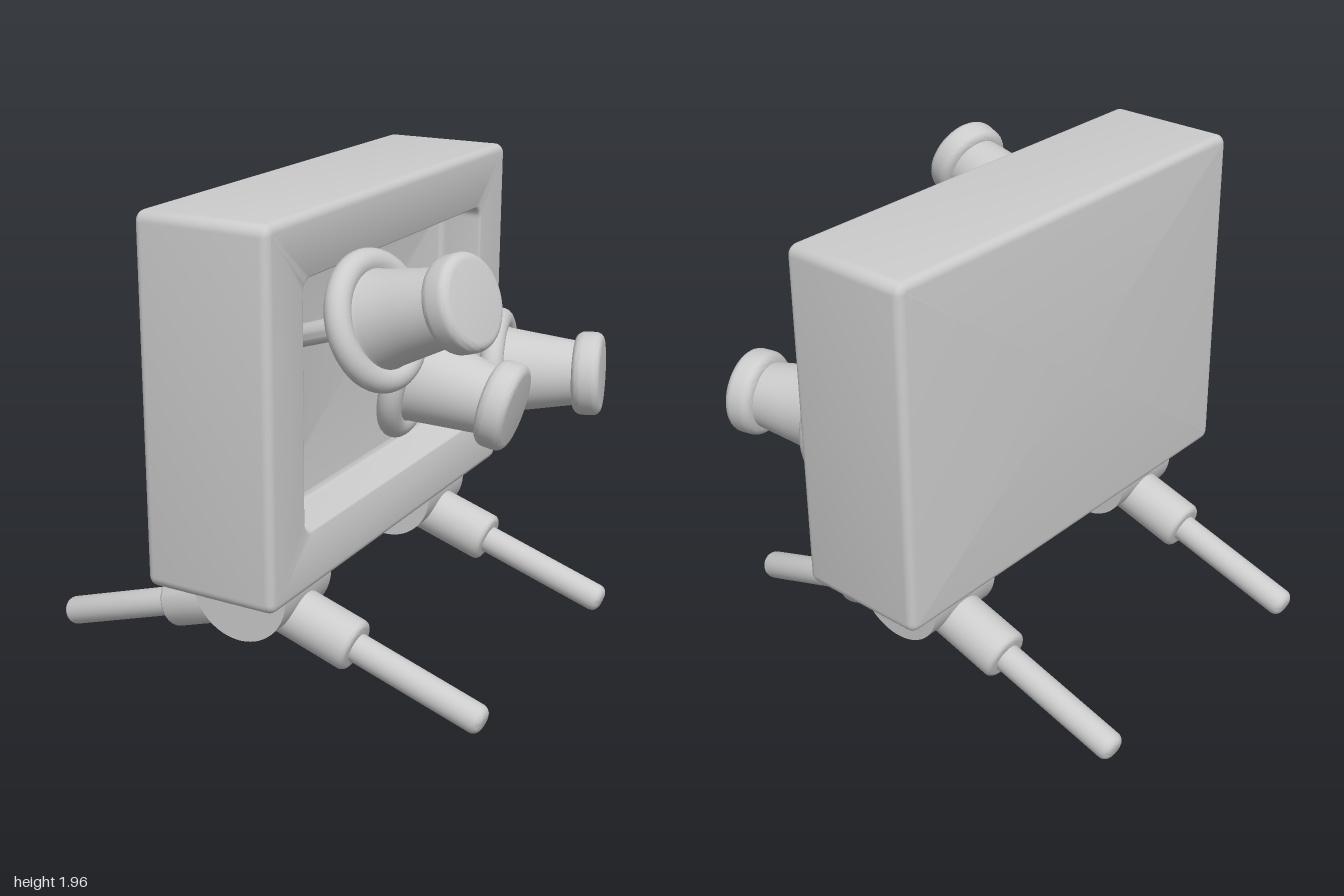
import * as THREE from 'three';
import { toCreasedNormals } from 'three/addons/utils/BufferGeometryUtils.js';

const material = new THREE.MeshStandardMaterial({ color: 0xcccccc });

function addMesh(parent, name, geometry, crease = 0.6) {
  const mesh = new THREE.Mesh(toCreasedNormals(geometry, crease), material);
  mesh.name = name;
  parent.add(mesh);
  return mesh;
}

// Points along an arc, angles in degrees
function arc(cx, cy, r, from, to, steps = 6) {
  return Array.from({ length: steps + 1 }, (_, i) => {
    const a = THREE.MathUtils.degToRad(from + ((to - from) * i) / steps);
    return [cx + r * Math.cos(a), cy + r * Math.sin(a)];
  });
}

const lathe = (points, segments = 48) =>
  new THREE.LatheGeometry(points.map(([x, y]) => new THREE.Vector2(Math.max(x, 0), y)), segments);

// Rod along +y with rounded end edges
const rod = (radius, from, to, edge) => lathe([
  [0, from], ...arc(radius - edge, from + edge, edge, -90, 0),
  ...arc(radius - edge, to - edge, edge, 0, 90), [0, to],
], 32);

// Rounded rectangles stacked along x: each ring is [x, halfZ, halfY, cornerRadius]
function loftRings(rings, cornerSteps = 6) {
  const positions = [], indices = [], count = 4 * (cornerSteps + 1);
  for (const [x, hz, hy, r] of rings) {
    for (let q = 0; q < 4; q++) {
      const su = q === 0 || q === 3 ? 1 : -1, sv = q < 2 ? 1 : -1;
      for (const [u, v] of arc(su * (hz - r), sv * (hy - r), r, q * 90, q * 90 + 90, cornerSteps)) {
        positions.push(x, v, -u);
      }
    }
  }
  for (let i = 0; i < rings.length - 1; i++) {
    for (let j = 0; j < count; j++) {
      const a = i * count + j, b = i * count + ((j + 1) % count);
      indices.push(a, b, b + count, a, b + count, a + count);
    }
  }
  const geometry = new THREE.BufferGeometry();
  geometry.setAttribute('position', new THREE.Float32BufferAttribute(positions, 3));
  geometry.setIndex(indices);
  return geometry;
}

// Framed board with a recessed panel on its +x side
function createBoard(parent) {
  const hx = 0.285, e = 0.035, floor = 0.09;
  const outer = (inset, x) => [x, 1 - inset, 0.74 - inset, Math.max(0.045 - inset, 0.01)];
  const inner = (inset, x) => [x, 0.75 - inset, 0.495 - inset, Math.max(0.05 - inset, 0.01)];
  const rings = [
    [-hx, 0, 0, 0],
    ...arc(-e, -hx + e, e, -90, 0).map(([d, x]) => outer(-d, x)).map(([x, z, y, r]) => [x, z, y, r]),
    ...arc(-e, hx - e, e, 0, 90).map(([d, x]) => outer(-d, x)),
    ...arc(-0.015, hx - 0.015, 0.015, 90, 0, 4).map(([d, x]) => inner(d, x)),
    ...arc(0.03, floor + 0.03, 0.03, 180, 270).map(([d, x]) => inner(d, x)),
    [floor, 0, 0, 0],
  ];
  addMesh(parent, 'board', loftRings(rings)).position.y = 1.23;
}

// Push pin whose grip runs from the collar base to the head face
function createPin(base, face) {
  const pin = new THREE.Group();
  pin.name = 'pushPin';
  addMesh(pin, 'pinGrip', lathe([
    [0, 0], ...arc(0.22, 0.05, 0.05, -90, 130, 12),
    [0.183, 0.1], [0.163, 0.23], [0.14, 0.38],
    ...arc(0.14, 0.42, 0.04, -90, 0), ...arc(0.145, 0.465, 0.035, 0, 90), [0, 0.5],
  ]));
  addMesh(pin, 'pinNeedle', rod(0.045, -0.45, 0.02, 0.015));
  const start = new THREE.Vector3(...base);
  const axis = new THREE.Vector3(...face).sub(start).normalize();
  pin.position.copy(start);
  pin.quaternion.setFromUnitVectors(new THREE.Vector3(0, 1, 0), axis);
  return pin;
}

// Rounded hinge block under the board with two splayed legs
function createStand(z) {
  const stand = new THREE.Group();
  stand.name = 'stand';
  stand.position.z = z;
  const shape = new THREE.Shape();
  shape.moveTo(0.215, 0.52);
  shape.lineTo(-0.215, 0.52);
  shape.lineTo(-0.215, 0.455);
  shape.absarc(0, 0.455, 0.215, Math.PI, Math.PI * 2, false);
  const hinge = new THREE.ExtrudeGeometry(shape, { depth: 0.355, bevelEnabled: false, curveSegments: 32 });
  hinge.translate(0, 0, -0.1775);
  addMesh(stand, 'hingeBlock', hinge);
  for (const side of [1, -1]) {
    const leg = new THREE.Group();
    leg.name = side > 0 ? 'leftLeg' : 'rightLeg';
    leg.position.y = 0.38;
    leg.rotation.z = -side * (Math.PI / 2 + 0.314);
    addMesh(leg, 'legSleeve', rod(0.108, 0, 0.455, 0.025));
    addMesh(leg, 'legRod', rod(0.06, 0.3, 1.035, 0.035));
    stand.add(leg);
  }
  return stand;
}

export function createModel() {
  const model = new THREE.Group();
  model.name = 'pinboard';
  createBoard(model);
  model.add(
    createPin([0.44, 1.545, 0.56], [0.91, 1.705, 0.63]),
    createPin([0.325, 1.21, 0.06], [0.81, 1.105, 0.01]),
    createPin([0.405, 1.045, -0.61], [0.89, 1.06, -0.74]),
  );
  for (const z of [0.615, -0.615]) model.add(createStand(z));
  return model;
}
